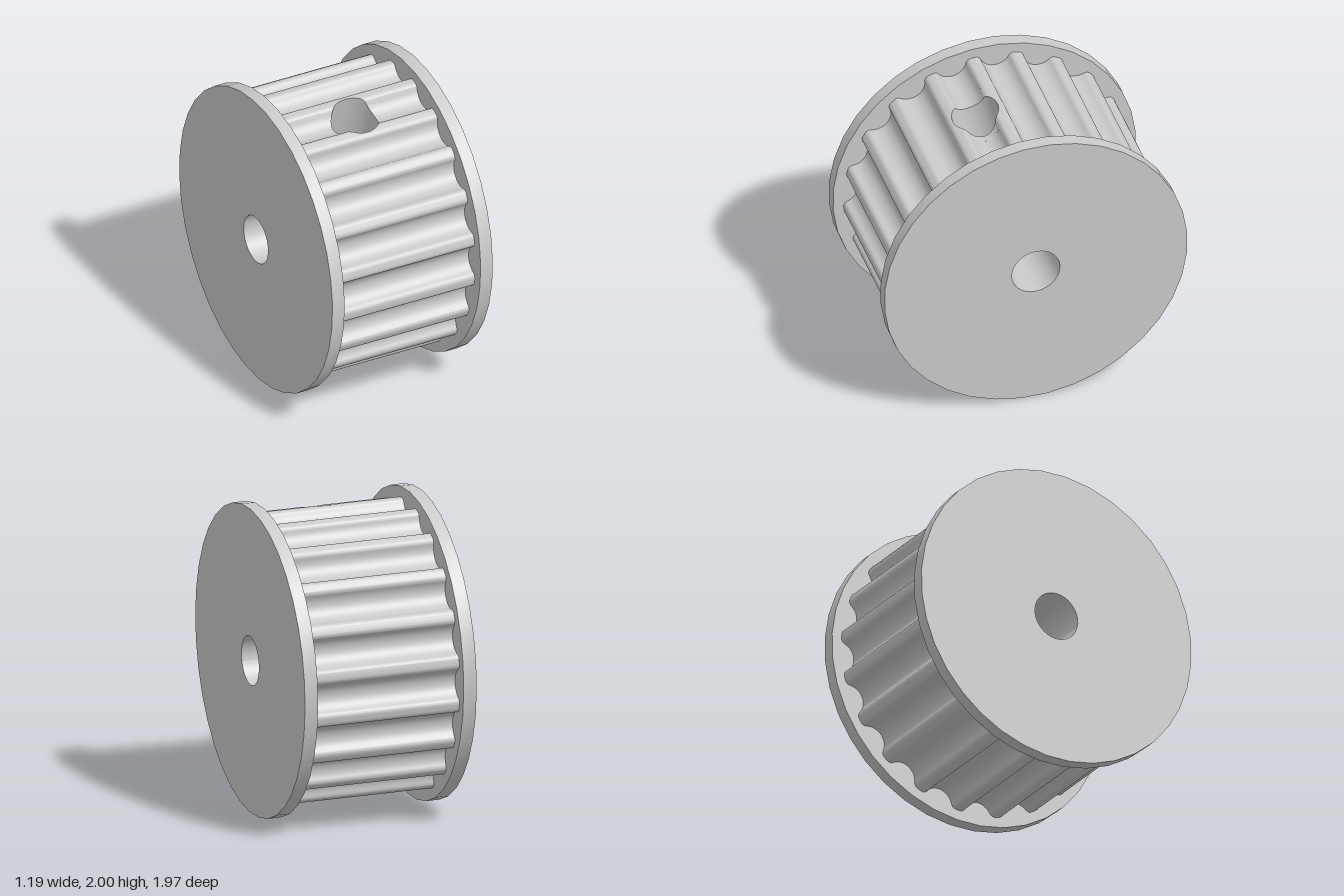
import * as THREE from 'three';
import { toCreasedNormals } from 'three/addons/utils/BufferGeometryUtils.js';

const TEETH = 20, TIP_R = 0.92, ROOT_R = 0.832, BORE_R = 0.157, SCREW_R = 0.15;
const FLANGE_R = 0.989, FLANGE_T = 0.086, HALF_LENGTH = 0.568, HALF_BODY = 0.5;
const FILLET = 0.036, LAND_ANGLE = 8.1; // rounded tooth corner and where it meets the tip
const PATCH_X = 0.2, PATCH_ANGLE = 9.7; // piece of the rim around the screw hole
const rad = THREE.MathUtils.degToRad;

// Point [z, y] on a circle, angle in degrees from +y towards +z
const polar = (r, deg) => [r * Math.sin(rad(deg)), r * Math.cos(rad(deg))];
const turn = ([z, y], deg) => {
  const c = Math.cos(rad(deg)), s = Math.sin(rad(deg));
  return [z * c + y * s, y * c - z * s];
};

// Grid surface from f(i, j) -> [x, y, z]
function surface(nu, nv, f) {
  const pos = [], idx = [];
  for (let i = 0; i <= nu; i++) for (let j = 0; j <= nv; j++) pos.push(...f(i, j));
  for (let i = 0; i < nu; i++) for (let j = 0; j < nv; j++) {
    const a = i * (nv + 1) + j, b = a + nv + 1;
    idx.push(a, a + 1, b, b, a + 1, b + 1);
  }
  const g = new THREE.BufferGeometry();
  g.setAttribute('position', new THREE.Float32BufferAttribute(pos, 3));
  g.setIndex(idx);
  return toCreasedNormals(g, 0.8);
}

// Profile of [z, y] points swept along x
const strip = (pts, x0, x1) =>
  surface(1, pts.length - 1, (i, j) => [i ? x1 : x0, pts[j][1], pts[j][0]]);

// Walk round a unit square; its corners line up with the patch corners
const AROUND = 128;
function square(j) {
  const t = (j / AROUND) * 4, side = Math.floor(t) % 4, s = (t % 1) * 2 - 1;
  return [[1, s], [-s, 1], [-1, -s], [s, -1]][side];
}
const onCircle = (j) => {
  const [u, v] = square(j), k = SCREW_R / Math.hypot(u, v);
  return [u * k, v * k];
};

// Curved rectangle with the round screw hole in it, height(z) gives y
function holedPatch(halfZ, height, flip) {
  const steps = 16;
  return surface(steps, AROUND, (i, j) => {
    const k = flip ? AROUND - j : j, [u, v] = square(k), [cx, cz] = onCircle(k);
    const t = i / steps;
    const x = cx + (u * PATCH_X - cx) * t, z = cz + (v * halfZ - cz) * t;
    return [x, height(z), z];
  });
}

// One groove with half a tooth on each side: a round root tangent to the tooth corners
const [fz, fy] = polar(TIP_R - FILLET, LAND_ANGLE);
const drop = fy - ROOT_R;
const rootArc = (fz * fz + drop * drop - FILLET * FILLET) / (2 * (FILLET + drop));
const rootY = ROOT_R + rootArc;
const tangent = THREE.MathUtils.radToDeg(Math.atan2(fz, rootY - fy));
const half = [];
for (let n = 0; n <= 8; n++) {
  const [z, y] = polar(rootArc, (tangent * n) / 8);
  half.push([z, rootY - y]);
}
for (let n = 1; n <= 8; n++) {
  const [z, y] = polar(FILLET, -tangent + ((tangent + LAND_ANGLE) * n) / 8);
  half.push([fz + z, fy + y]);
}
half.push(polar(TIP_R, 180 / TEETH));
const pitch = [...half.slice(1).reverse().map(([z, y]) => [-z, y]), ...half];

const patchArc = [polar(TIP_R, -PATCH_ANGLE), ...pitch, polar(TIP_R, PATCH_ANGLE)];
const rim = [];
for (let k = 1; k < TEETH; k++) {
  rim.push(...pitch.slice(k > 1 ? 1 : 0).map((p) => turn(p, (k * 360) / TEETH)));
}
rim[0] = polar(TIP_R, PATCH_ANGLE);
rim[rim.length - 1] = polar(TIP_R, -PATCH_ANGLE);

function rimHeight(z) {
  let n = 1;
  while (n < patchArc.length - 1 && patchArc[n][0] < z) n++;
  const [z0, y0] = patchArc[n - 1], [z1, y1] = patchArc[n];
  return y0 + ((y1 - y0) * (z - z0)) / (z1 - z0);
}
const boreHeight = (z) => Math.sqrt(Math.max(0, BORE_R * BORE_R - z * z));

// Half circle of the bore, ordered so that it faces the axis
const boreArc = (start) => Array.from({ length: 25 }, (_, n) => polar(BORE_R, start - n * 7.5));

export function createModel() {
  const steel = new THREE.MeshStandardMaterial({ color: 0xcacaca });
  steel.name = 'plainSteel';

  const pulley = new THREE.Group();
  pulley.name = 'toothedPulley';
  const add = (parent, name, geometry) => {
    const mesh = new THREE.Mesh(geometry, steel);
    mesh.name = name;
    parent.add(mesh);
    return mesh;
  };

  // Toothed drum, turned so that the screw hole leans to the front
  const drum = new THREE.Group();
  drum.name = 'drum';
  drum.rotation.x = rad(14.1);
  pulley.add(drum);
  add(drum, 'toothedRim', strip(rim, -HALF_BODY, HALF_BODY));
  add(drum, 'rimAroundScrewHole', holedPatch(patchArc[patchArc.length - 1][0], rimHeight, false));
  add(drum, 'boreLower', strip(boreArc(270), -HALF_LENGTH, HALF_LENGTH));
  add(drum, 'boreAroundScrewHole', holedPatch(BORE_R, boreHeight, true));
  for (const side of ['right', 'left']) {
    const ends = (l) => (side === 'right' ? [-l, -PATCH_X] : [PATCH_X, l]);
    add(drum, side + 'RimStrip', strip(patchArc, ...ends(HALF_BODY)));
    add(drum, side + 'BoreUpper', strip(boreArc(90), ...ends(HALF_LENGTH)));
  }

  // Screw hole wall, from the bore up to the rim
  add(drum, 'screwHole', surface(1, AROUND, (i, j) => {
    const [x, z] = onCircle(j);
    return [x, i ? rimHeight(z) : boreHeight(z), z];
  }));

  // End flanges
  const h = FLANGE_T / 2;
  const section = [[BORE_R, -h], [FLANGE_R, -h], [FLANGE_R, h], [BORE_R, h]]
    .map(([x, y]) => new THREE.Vector2(x, y));
  const flange = toCreasedNormals(new THREE.LatheGeometry(section, 36, rad(5)), 0.6);
  flange.rotateZ(-Math.PI / 2);
  for (const s of [-1, 1]) {
    add(pulley, s < 0 ? 'rightFlange' : 'leftFlange', flange).position.x = s * (HALF_LENGTH - h);
  }

  // Slight lean of the whole pulley
  pulley.rotation.z = rad(-1.45);
  pulley.position.y = 1;
  const model = new THREE.Group();
  model.name = 'model';
  model.add(pulley);
  return model;
}
